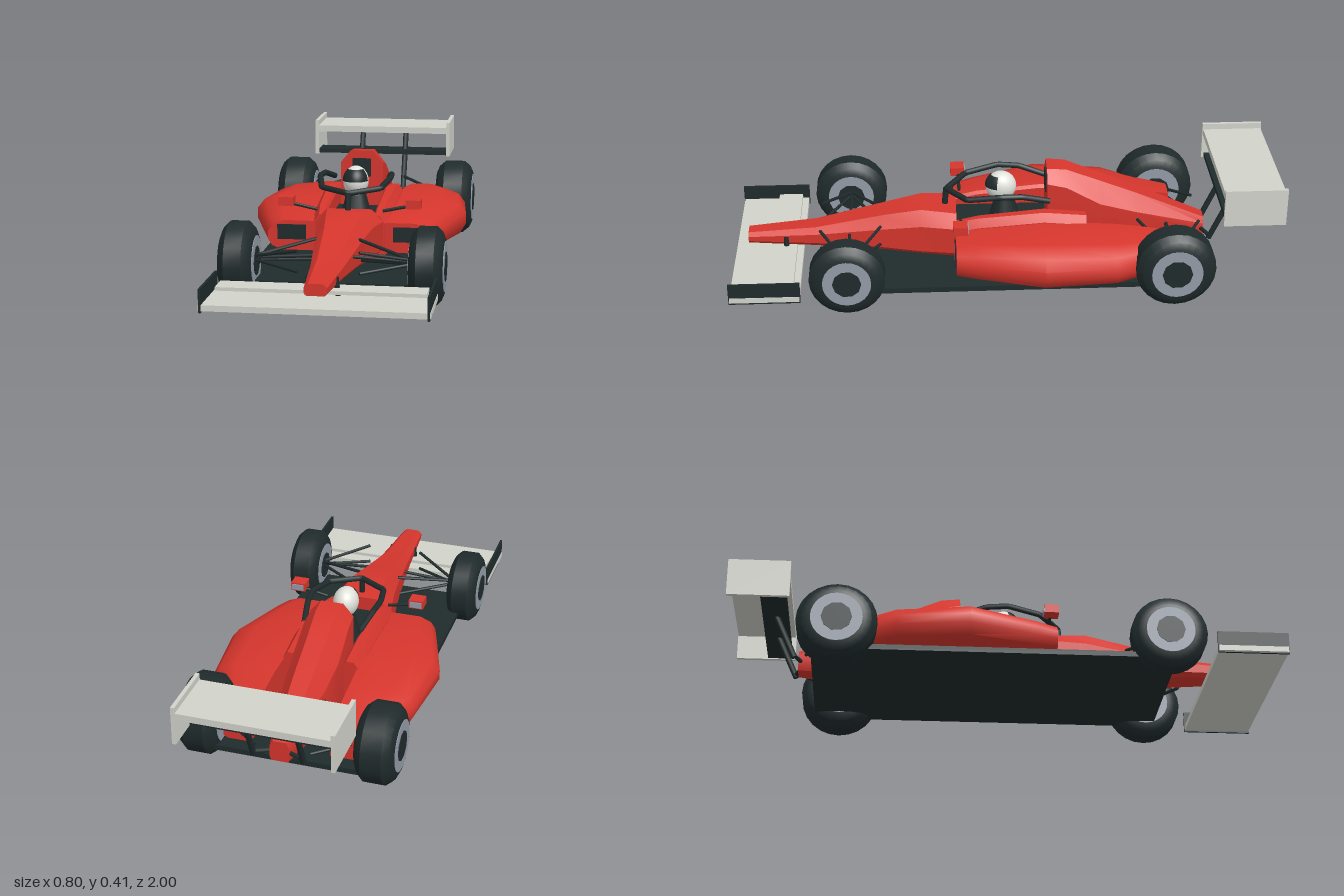
import * as THREE from 'three';
import { toCreasedNormals } from 'three/addons/utils/BufferGeometryUtils.js';

const mat = (name, color) => {
  const m = new THREE.MeshStandardMaterial({ color });
  m.name = name;
  return m;
};

export function createModel() {
  const red = mat('red paint', 0xd6362d);
  const dark = mat('dark carbon', 0x202b2c);
  const light = mat('light grey', 0xd2d4cb);
  const steel = mat('rim grey', 0x949ca8);
  const white = mat('helmet white', 0xe2e2dc);

  const car = new THREE.Group();
  car.name = 'racingCar';
  const add = (name, geo, material, parent = car) => {
    const mesh = new THREE.Mesh(geo, material);
    mesh.name = name;
    parent.add(mesh);
    return mesh;
  };

  // Box from its minimum and maximum corners
  const box = (name, x0, x1, y0, y1, z0, z1, material) => {
    const g = new THREE.BoxGeometry(Math.abs(x1 - x0), y1 - y0, Math.abs(z1 - z0));
    return add(name, g.translate((x0 + x1) / 2, (y0 + y1) / 2, (z0 + z1) / 2), material);
  };

  // Round bar between two points
  const bar = (name, a, b, r, material = dark) => {
    const p = new THREE.Vector3(...a), q = new THREE.Vector3(...b);
    const m = add(name, new THREE.CylinderGeometry(r, r, p.distanceTo(q), 8), material);
    m.position.copy(p).add(q).multiplyScalar(0.5);
    m.quaternion.setFromUnitVectors(new THREE.Vector3(0, 1, 0), q.sub(p).normalize());
    return m;
  };

  // Capped skin over rings of [x, y] points, each ring at its own z
  const loft = (rings, crease = 0.5) => {
    const n = rings[0].pts.length, pos = [], idx = [];
    rings.forEach(({ z, pts }) => pts.forEach(([x, y]) => pos.push(x, y, z)));
    for (let i = 0; i < rings.length - 1; i++) {
      for (let j = 0; j < n; j++) {
        const a = i * n + j, b = i * n + (j + 1) % n;
        idx.push(a, b, a + n, b, b + n, a + n);
      }
    }
    const last = (rings.length - 1) * n;
    for (let j = 1; j < n - 1; j++) idx.push(0, j + 1, j, last, last + j, last + j + 1);
    // Turn the faces outward if the enclosed volume is negative
    const v = (i) => new THREE.Vector3().fromArray(pos, i * 3);
    let volume = 0;
    for (let i = 0; i < idx.length; i += 3) volume += v(idx[i]).dot(v(idx[i + 1]).cross(v(idx[i + 2])));
    if (volume < 0) idx.reverse();
    const g = new THREE.BufferGeometry();
    g.setAttribute('position', new THREE.Float32BufferAttribute(pos, 3));
    g.setIndex(idx);
    return toCreasedNormals(g, crease);
  };

  // Symmetric eight-point ring: bottom, middle and top half widths, four heights
  const hull = ([z, wb, wm, wt, y0, yl, yh, y1]) => ({
    z, pts: [[-wb, y0], [wb, y0], [wm, yl], [wm, yh], [wt, y1], [-wt, y1], [-wm, yh], [-wm, yl]],
  });

  // Floor
  box('floor', -0.32, 0.32, 0.055, 0.075, -0.69, 0.61, dark);

  // Nose
  add('nose', loft([
    [0.95, 0.03, 0.038, 0.025, 0.115, 0.125, 0.142, 0.155],
    [0.7, 0.045, 0.057, 0.035, 0.105, 0.12, 0.155, 0.175],
    [0.45, 0.065, 0.083, 0.05, 0.092, 0.11, 0.185, 0.228],
    [0.31, 0.08, 0.103, 0.065, 0.08, 0.1, 0.203, 0.254],
    [0.18, 0.1, 0.125, 0.08, 0.075, 0.1, 0.2, 0.243],
  ].map(hull)), red);

  // Engine cover with air intake
  add('engineCover', loft([
    [-0.155, 0.075, 0.08, 0.042, 0.075, 0.1, 0.355, 0.4],
    [-0.225, 0.08, 0.083, 0.04, 0.075, 0.1, 0.34, 0.394],
    [-0.35, 0.08, 0.086, 0.035, 0.075, 0.1, 0.27, 0.343],
    [-0.48, 0.07, 0.077, 0.033, 0.075, 0.1, 0.23, 0.29],
    [-0.745, 0.03, 0.036, 0.025, 0.095, 0.11, 0.15, 0.173],
  ].map(hull)), red);
  box('airIntake', -0.035, 0.035, 0.3, 0.37, -0.158, -0.15, dark);

  // Cockpit tub and driver
  box('cockpitTub', -0.095, 0.095, 0.075, 0.19, -0.16, 0.185, dark);
  add('driverBody', new THREE.CylinderGeometry(0.035, 0.06, 0.09, 12).translate(0, 0.225, 0), dark);
  const helmet = new THREE.Group();
  helmet.name = 'helmet';
  helmet.position.set(0, 0.314, 0.012);
  helmet.scale.set(0.83, 1, 1);
  car.add(helmet);
  add('helmetShell', new THREE.SphereGeometry(0.057, 20, 14), white, helmet);
  add('visor', new THREE.SphereGeometry(0.0595, 16, 6, 0.3, Math.PI - 0.6, 0.65, 0.85), dark, helmet);

  // Halo
  const haloPts = [[0.105, 0.3, -0.16], [0.125, 0.33, -0.06], [0.132, 0.333, 0.02],
    [0.108, 0.313, 0.14], [0, 0.306, 0.215]];
  const haloPath = new THREE.CurvePath();
  const full = [...haloPts, ...haloPts.slice(0, -1).reverse().map(([x, y, z]) => [-x, y, z])]
    .map((p) => new THREE.Vector3(...p));
  for (let i = 1; i < full.length; i++) haloPath.add(new THREE.LineCurve3(full[i - 1], full[i]));
  add('haloHoop', new THREE.TubeGeometry(haloPath, 64, 0.011, 8), dark);
  bar('haloPillar', [0, 0.23, 0.222], [0, 0.308, 0.215], 0.011);

  // Wheel with tyre, rim and hub
  const wheel = (name, x, z, R, h) => {
    const g = new THREE.Group();
    g.name = name;
    g.position.set(x, R, z);
    car.add(g);
    const side = [[0, h], [0.7 * R, h], [0.86 * R, 0.85 * h], [R, 0.52 * h]];
    const profile = [...side.map(([r, y]) => [r, -y]), ...side.reverse()].map((p) => new THREE.Vector2(...p));
    const tyre = new THREE.LatheGeometry(profile, 24).rotateZ(-Math.PI / 2);
    add('tyre', toCreasedNormals(tyre, 0.45), dark, g);
    const disc = (part, r, w, sides, m) =>
      add(part, new THREE.CylinderGeometry(r, r, w, sides).rotateZ(Math.PI / 2), m, g);
    disc('rim', 0.64 * R, 2 * h + 0.004, 24, steel);
    disc('hub', 0.38 * R, 2 * h + 0.008, 10, dark);
  };

  for (const s of [1, -1]) {
    const side = s > 0 ? 'left' : 'right';

    // Cockpit side wall
    const wall = ([z, xo, y1]) => ({
      z, pts: [[0.088, 0.075], [xo, 0.075], [xo, y1 - 0.03], [xo - 0.02, y1], [0.096, y1], [0.088, y1 - 0.012]]
        .map(([x, y]) => [s * x, y]),
    });
    add(side + 'CockpitWall', loft([[0.19, 0.13, 0.222], [0.1, 0.14, 0.242], [-0.14, 0.148, 0.264],
      [-0.295, 0.145, 0.248]].map(wall)), red);

    // Sidepod: z, inner x, outer x, bottom y, top y
    const pod = ([z, xi, xo, y0, y1]) => {
      const w = xo - xi, h = y1 - y0;
      return {
        z, pts: [[xi, y0], [xo - 0.3 * w, y0], [xo - 0.08 * w, y0 + 0.14 * h], [xo, y0 + 0.38 * h],
          [xo, y0 + 0.62 * h], [xo - 0.1 * w, y0 + 0.85 * h], [xo - 0.35 * w, y1], [xi, y1]]
          .map(([x, y]) => [s * x, y]),
      };
    };
    add(side + 'Sidepod', loft([
      [0.185, 0.13, 0.3, 0.085, 0.195],
      [0.11, 0.13, 0.325, 0.08, 0.208],
      [-0.13, 0.13, 0.4, 0.075, 0.23],
      [-0.39, 0.14, 0.375, 0.075, 0.218],
      [-0.47, 0.14, 0.33, 0.075, 0.208],
      [-0.635, 0.145, 0.265, 0.075, 0.185],
    ].map(pod), 0.75), red);
    box(side + 'SidepodIntake', s * 0.16, s * 0.265, 0.125, 0.18, 0.182, 0.189, dark);

    // Mirror
    box(side + 'Mirror', s * 0.205, s * 0.26, 0.25, 0.282, 0.143, 0.195, red);
    box(side + 'MirrorGlass', s * 0.21, s * 0.255, 0.255, 0.277, 0.139, 0.145, steel);
    bar(side + 'MirrorStem', [s * 0.12, 0.235, 0.165], [s * 0.215, 0.255, 0.165], 0.006);

    // Wheels
    wheel(side + 'FrontWheel', s * 0.325, 0.578, 0.136, 0.058);
    wheel(side + 'RearWheel', s * 0.319, -0.6, 0.144, 0.071);

    // Suspension: both wishbones and a straight link at each wheel
    for (const [yIn, yOut] of [[0.198, 0.152], [0.126, 0.14]]) {
      for (const z of [0.68, 0.46]) {
        bar(side + 'FrontWishbone', [s * (z > 0.5 ? 0.105 : 0.075), yIn - (z > 0.5 ? 0 : 0.005), z],
          [s * 0.275, yOut, 0.575], 0.006);
      }
      for (const z of [-0.715, -0.49]) {
        bar(side + 'RearWishbone', [s * (z < -0.6 ? 0.1 : 0.075), yIn, z], [s * 0.265, yOut, -0.6], 0.006);
      }
    }
    bar(side + 'FrontTrackRod', [s * 0.05, 0.16, 0.575], [s * 0.275, 0.146, 0.575], 0.006);
    bar(side + 'RearDriveShaft', [s * 0.04, 0.17, -0.6], [s * 0.265, 0.145, -0.6], 0.007);

    // Wing end plates and supports
    box(side + 'FrontEndPlate', s * 0.366, s * 0.374, 0.058, 0.138, 0.745, 1, dark);
    bar(side + 'NoseSupport', [s * 0.052, 0.08, 0.81], [s * 0.045, 0.145, 0.81], 0.01);
    box(side + 'RearEndPlate', s * 0.266, s * 0.28, 0.274, 0.415, -1, -0.775, light);
    bar(side + 'RearWingStrut', [s * 0.09, 0.12, -0.757], [s * 0.09, 0.37, -0.868], 0.011);
    bar(side + 'StrutMount', [s * 0.02, 0.13, -0.73], [s * 0.09, 0.13, -0.76], 0.008);
  }

  // Front wing
  box('frontWingPlane', -0.376, 0.376, 0.064, 0.084, 0.748, 0.997, light);
  box('frontWingFlap', -0.35, 0.35, 0.098, 0.11, 0.77, 0.86, light);

  // Rear wing
  box('rearWingPlane', -0.27, 0.27, 0.368, 0.393, -0.998, -0.778, light);
  box('rearWingBeam', -0.266, 0.266, 0.278, 0.294, -0.88, -0.785, dark);

  return car;
}
